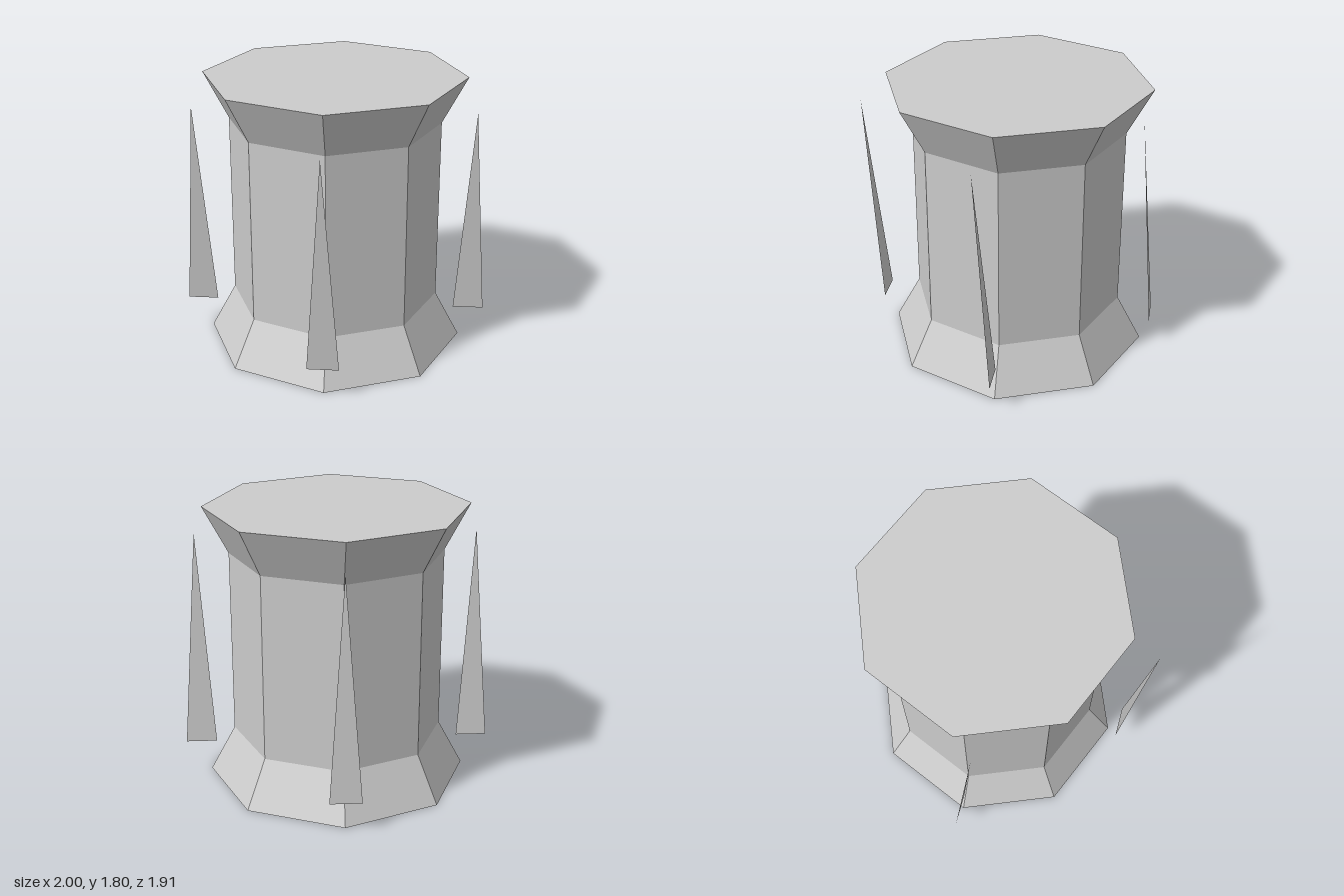
import * as THREE from 'three';

const CENTRE_Z = -0.057;

export function createModel() {
  const model = new THREE.Group();
  model.name = 'column';

  const stone = new THREE.MeshStandardMaterial({
    color: 0xcccccc, flatShading: true, side: THREE.DoubleSide,
  });
  stone.name = 'light grey stone';

  const add = (name, geometry, x = 0, y = 0, z = 0) => {
    const mesh = new THREE.Mesh(geometry, stone);
    mesh.name = name;
    mesh.position.set(x, y, CENTRE_Z + z);
    model.add(mesh);
  };

  // Eight-sided column: flared foot, straight shaft, flared top
  add('base', new THREE.CylinderGeometry(0.68, 0.84, 0.3, 8, 1, true), 0, 0.15);
  add('shaft', new THREE.CylinderGeometry(0.68, 0.68, 1.2, 8, 1, true), 0, 0.9);
  add('capital', new THREE.CylinderGeometry(0.84, 0.68, 0.3, 8, 1, true), 0, 1.65);

  // Closing faces, with a corner pointing to the front
  const lid = new THREE.CircleGeometry(0.84, 8);
  add('topFace', lid.clone().rotateX(-Math.PI / 2), 0, 1.8);
  add('bottomFace', lid.clone().rotateX(Math.PI / 2));

  // Thin upright blades around the column, all leaning forward
  const blade = new THREE.BufferGeometry();
  blade.setAttribute('position', new THREE.Float32BufferAttribute(
    [-0.1, 0, 0, 0.1, 0, 0, 0, 1.4, 0.114], 3));
  blade.computeVertexNormals();
  const places = { frontBlade: [0, 0.9], backBlade: [0, -0.9], leftBlade: [0.9, 0], rightBlade: [-0.9, 0] };
  for (const [name, [x, z]] of Object.entries(places)) add(name, blade, x, 0.2, z);

  return model;
}
